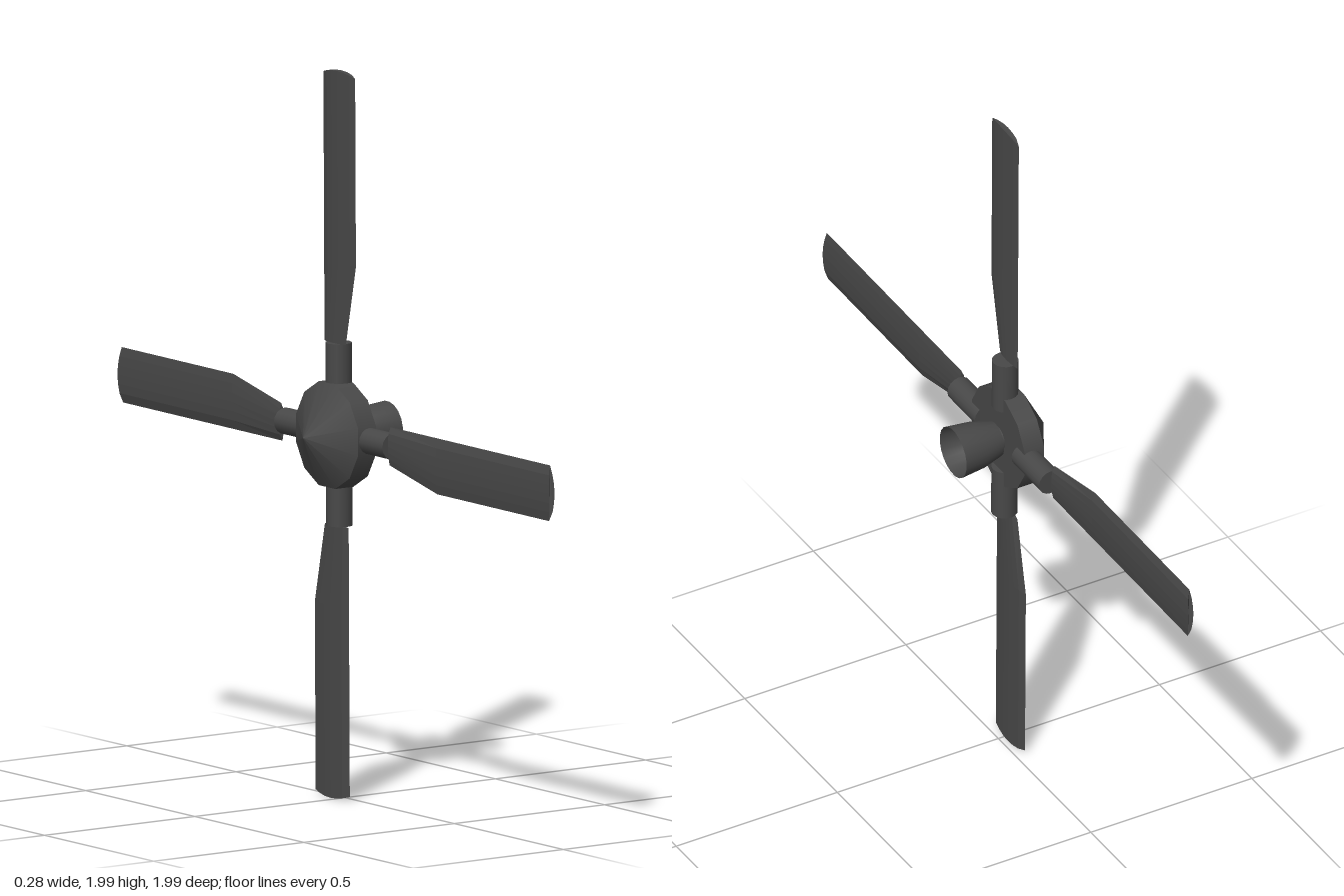
import * as THREE from 'three';

const dark = new THREE.MeshStandardMaterial({ color: 0x484848 });
const darkOpen = new THREE.MeshStandardMaterial({ color: 0x484848, side: THREE.DoubleSide });

function add(parent, name, geometry, material = dark) {
  const mesh = new THREE.Mesh(geometry, material);
  mesh.name = name;
  parent.add(mesh);
  return mesh;
}

// Surface of revolution about the x axis, from [x, radius] points.
function turned(points, sides) {
  const g = new THREE.LatheGeometry(points.map(([x, r]) => new THREE.Vector2(r, x)), sides, Math.PI / sides);
  return g.rotateZ(-Math.PI / 2);
}

// Blade pointing along +y: lens-shaped sections with a tapered root and a bowed tip.
function bladeGeometry() {
  const stations = [[0.25, 0.05, 0], [0.47, 0.098, 0], [0.985, 0.098, 0.012]];
  const trailing = -0.054, half = 0.008, n = 6;
  const pos = [], index = [], ring = 2 * n;
  for (const [y, leading, bow] of stations) {
    for (let i = 0; i < ring; i++) {
      const s = i <= n ? i / n : (ring - i) / n;
      const bulge = 4 * s * (1 - s);
      const x = half * (0.25 + 0.75 * bulge) * (i < n ? 1 : -1);
      pos.push(x, y + bow * bulge, THREE.MathUtils.lerp(trailing, leading, s));
    }
  }
  for (let k = 0; k < stations.length - 1; k++) {
    for (let i = 0; i < ring; i++) {
      const j = (i + 1) % ring;
      const a = k * ring + i, b = k * ring + j, c = a + ring, d = b + ring;
      index.push(a, b, c, b, d, c);
    }
  }
  // end caps
  const last = (stations.length - 1) * ring;
  for (let i = 1; i < ring - 1; i++) {
    index.push(0, i + 1, i, last, last + i, last + i + 1);
  }
  let g = new THREE.BufferGeometry();
  g.setAttribute('position', new THREE.Float32BufferAttribute(pos, 3));
  g.setIndex(index);
  // make every face wind outwards
  g = g.toNonIndexed();
  const p = g.attributes.position;
  const [A, B, C] = [0, 1, 2].map(() => new THREE.Vector3());
  for (let f = 0; f < p.count; f += 3) {
    A.fromBufferAttribute(p, f); B.fromBufferAttribute(p, f + 1); C.fromBufferAttribute(p, f + 2);
    const mid = A.clone().add(B).add(C).divideScalar(3).sub(new THREE.Vector3(0, 0.62, 0.01));
    const normal = B.clone().sub(A).cross(C.clone().sub(A));
    if (normal.dot(mid) < 0) {
      p.setXYZ(f + 1, C.x, C.y, C.z);
      p.setXYZ(f + 2, B.x, B.y, B.z);
    }
  }
  g.computeVertexNormals();
  return g;
}

export function createModel() {
  const model = new THREE.Group();
  model.name = 'propeller';
  const rotor = new THREE.Group();
  rotor.name = 'rotor';
  rotor.position.y = 1;
  model.add(rotor);

  // Hub: spinner cone, rim drum and inner face
  add(rotor, 'spinnerCone', turned([[-0.06, 0.147], [-0.14, 0]], 12).toNonIndexed(), darkOpen);
  add(rotor, 'hubDrum', new THREE.CylinderGeometry(0.147, 0.147, 0.06, 12, 1, false, Math.PI / 12)
    .rotateZ(-Math.PI / 2).translate(-0.03, 0, 0));

  // Shaft stub and the flared open cup
  add(rotor, 'shaft', new THREE.CylinderGeometry(0.035, 0.035, 0.03, 16)
    .rotateZ(-Math.PI / 2).translate(0.005, 0, 0));
  add(rotor, 'flaredCup', turned([[0.01, 0.05], [0.07, 0.066], [0.14, 0.073]], 20), darkOpen);
  add(rotor, 'cupFloor', new THREE.CircleGeometry(0.05, 20).rotateY(Math.PI / 2).translate(0.012, 0, 0), darkOpen);

  // Four blades on round grips, in a slightly tilted plane
  const blades = new THREE.Group();
  blades.name = 'blades';
  blades.rotation.set(0, -0.005, 0.005);
  rotor.add(blades);
  const blade = bladeGeometry();
  const grip = new THREE.CylinderGeometry(0.036, 0.036, 0.15, 16).translate(-0.02, 0.175, 0);
  for (let i = 0; i < 4; i++) {
    const arm = new THREE.Group();
    arm.name = 'bladeArm' + (i + 1);
    arm.rotation.x = i * Math.PI / 2;
    blades.add(arm);
    add(arm, 'bladeGrip', grip);
    add(arm, 'blade', blade).position.x = -0.03;
  }
  return model;
}
